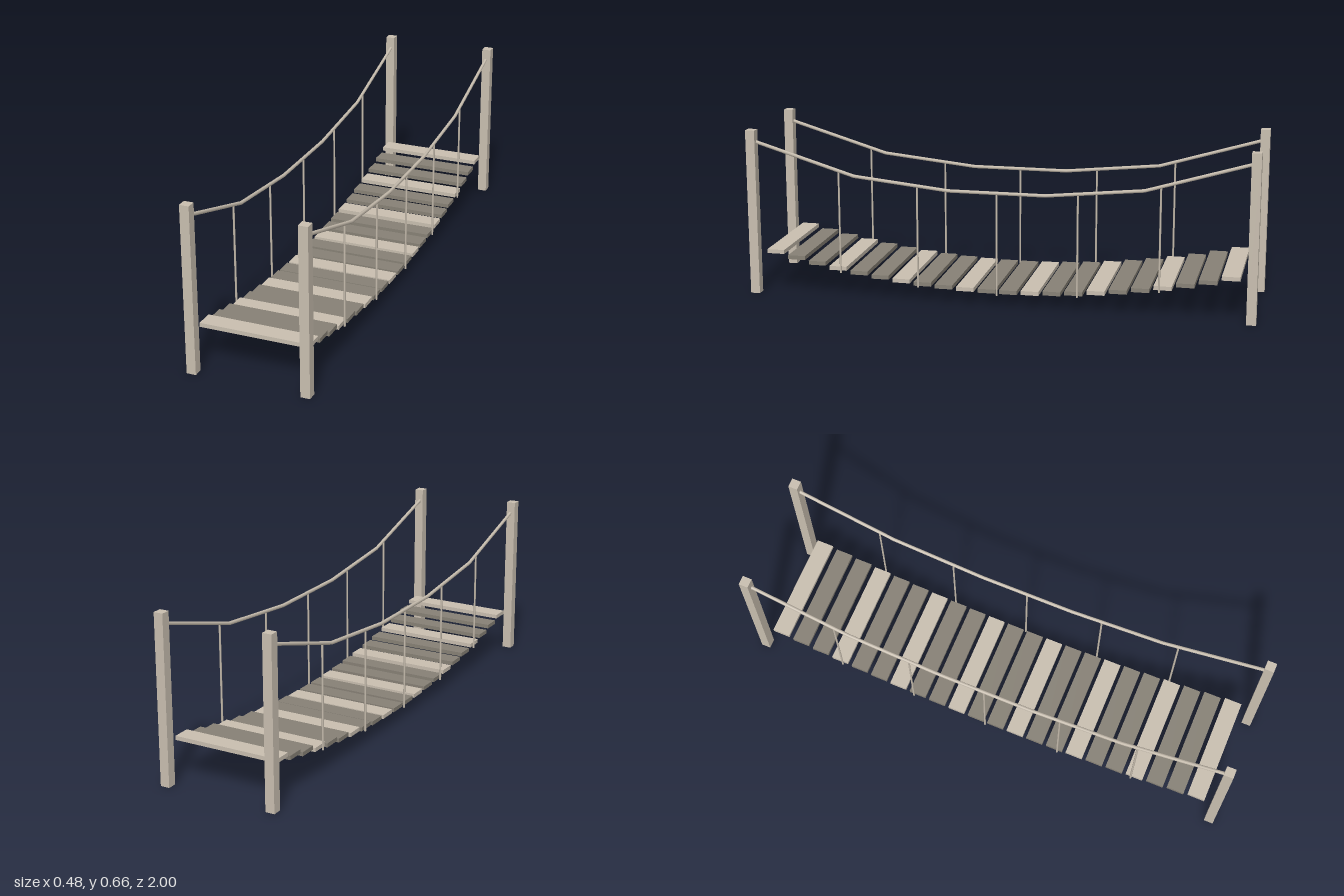
import * as THREE from 'three';

export function createModel() {
  const group = new THREE.Group();
  const paleWood = new THREE.MeshStandardMaterial({ name: 'paleWood', color: 0xc9bfb0 });
  const darkWood = new THREE.MeshStandardMaterial({ name: 'darkWood', color: 0x878176 });
  paleWood.flatShading = false;

  const add = (name, geometry, material, x, y, z) => {
    const mesh = new THREE.Mesh(geometry, material);
    mesh.name = name;
    mesh.position.set(x, y, z);
    group.add(mesh);
    return mesh;
  };

  const sideX = 0.2225;
  const deckY = (z) => 0.06 + 0.109 * (z / 0.9) ** 2;

  // Sagging deck: every third plank is pale
  const plankGeo = new THREE.BoxGeometry(0.43, 0.016, 0.07);
  const count = 22;
  for (let i = 0; i < count; i++) {
    const z = -0.9 + (1.8 * i) / (count - 1);
    add('plank', plankGeo, i % 3 === 0 ? paleWood : darkWood, 0, deckY(z), z);
  }

  // Handrail rope: five straight lengths, y as a function of z
  const ropePoints = [
    [-0.975, 0.615], [-0.568, 0.493], [-0.19, 0.454],
    [0.19, 0.454], [0.568, 0.493], [0.975, 0.615],
  ].map(([z, y]) => new THREE.Vector3(0, y, z));
  const ropeY = (z) => {
    const i = ropePoints.findIndex((p) => p.z >= z);
    const a = ropePoints[i - 1], b = ropePoints[i];
    return THREE.MathUtils.lerp(a.y, b.y, (z - a.z) / (b.z - a.z));
  };
  const ropePath = new THREE.CurvePath();
  for (let i = 1; i < ropePoints.length; i++) {
    ropePath.add(new THREE.LineCurve3(ropePoints[i - 1], ropePoints[i]));
  }
  // Sample at the joints so the bends stay crisp
  const joints = ropePoints.length - 1;
  ropePath.getPointAt = (u, target = new THREE.Vector3()) => {
    const t = Math.min(u * joints, joints);
    const i = Math.min(Math.floor(t + 1e-6), joints - 1);
    return target.lerpVectors(ropePoints[i], ropePoints[i + 1], t - i);
  };
  ropePath.getTangentAt = (u) => {
    const a = ropePath.getPointAt(Math.max(0, u - 0.01));
    return ropePath.getPointAt(Math.min(1, u + 0.01)).sub(a).normalize();
  };
  const ropeGeo = new THREE.TubeGeometry(ropePath, joints, 0.007, 6, false);

  const postGeo = new THREE.BoxGeometry(0.037, 0.66, 0.037);
  for (const side of [-1, 1]) {
    const x = side * sideX;
    add('handrailRope', ropeGeo, paleWood, side * 0.219, 0, 0);
    // Corner posts
    for (const end of [-1, 1]) add('post', postGeo, paleWood, x, 0.33, end * 0.9815);
    // Hangers from rope to deck
    for (let i = -2; i <= 2; i++) {
      const z = i * 0.315;
      const bottom = deckY(z) - 0.014, top = ropeY(z);
      const hangerGeo = new THREE.CylinderGeometry(0.004, 0.004, top - bottom, 6);
      add('hanger', hangerGeo, paleWood, side * 0.219, (top + bottom) / 2, z);
    }
  }
  return group;
}
